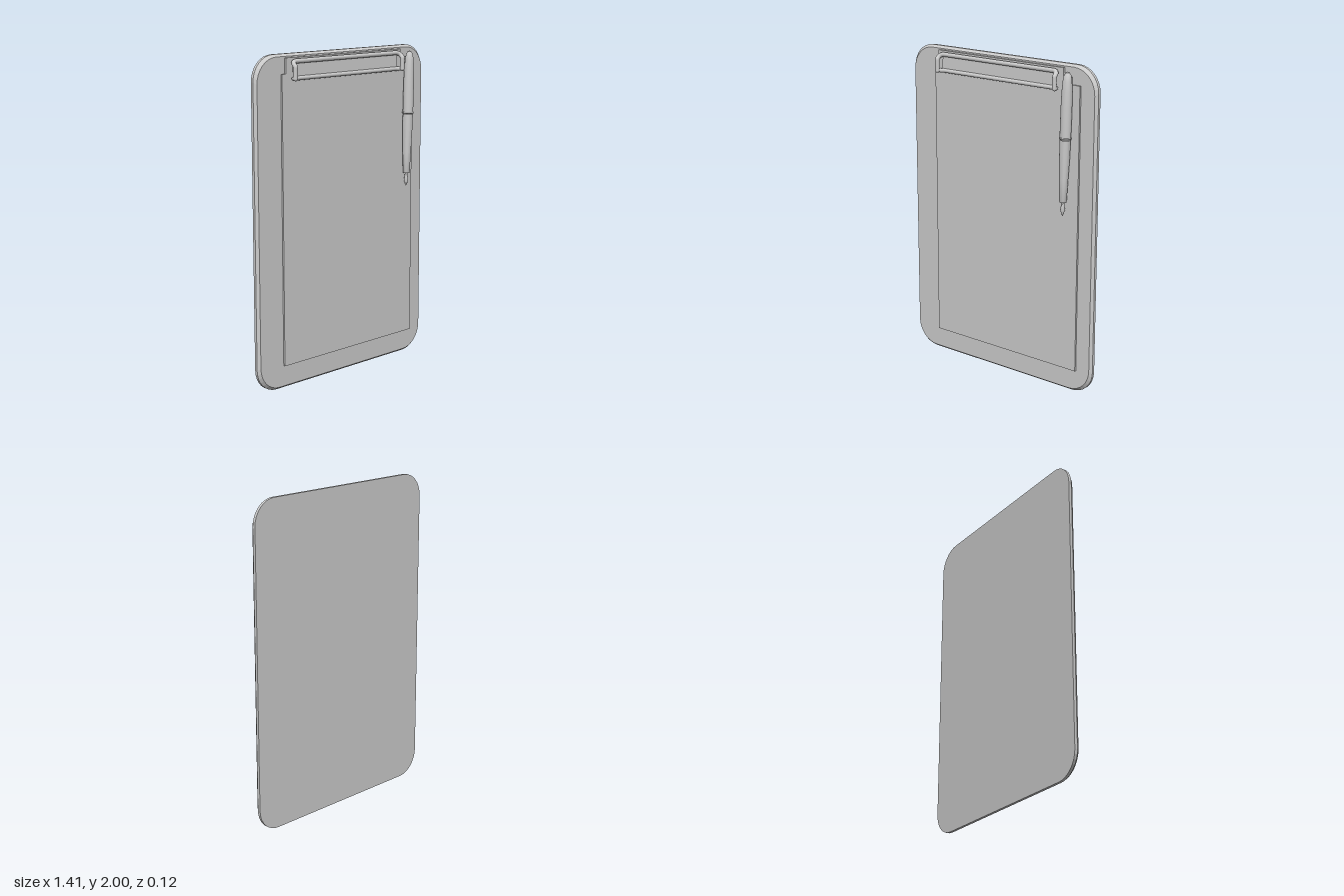
import * as THREE from 'three';
import { toCreasedNormals } from 'three/addons/utils/BufferGeometryUtils.js';

const grey = new THREE.MeshStandardMaterial({ color: 0xcccccc, side: THREE.DoubleSide });
const flat = new THREE.MeshStandardMaterial({ color: 0xcccccc, flatShading: true });
const v = (x, y, z) => new THREE.Vector3(x, y, z);

function add(parent, name, geometry, material = grey) {
  const mesh = new THREE.Mesh(geometry, material);
  mesh.name = name;
  parent.add(mesh);
  return mesh;
}

// Box given by its limits on each axis
function box(parent, name, [x0, x1], [y0, y1], [z0, z1]) {
  const mesh = add(parent, name, new THREE.BoxGeometry(x1 - x0, y1 - y0, z1 - z0), flat);
  mesh.position.set((x0 + x1) / 2, (y0 + y1) / 2, (z0 + z1) / 2);
  return mesh;
}

// Rounded slab whose front rim is chamfered by drawing in the front ring
function boardGeometry(w, h, r, depth, chamfer) {
  const s = new THREE.Shape();
  const x = w / 2 - r, y = h / 2 - r;
  s.absarc(x, y, r, 0, Math.PI / 2);
  s.absarc(-x, y, r, Math.PI / 2, Math.PI);
  s.absarc(-x, -y, r, Math.PI, Math.PI * 1.5);
  s.absarc(x, -y, r, Math.PI * 1.5, Math.PI * 2);
  const g = new THREE.ExtrudeGeometry(s, { depth, steps: 2, bevelEnabled: false, curveSegments: 4 });
  const p = g.attributes.position;
  for (let i = 0; i < p.count; i++) {
    if (p.getZ(i) < depth * 0.9) continue;
    p.setX(i, p.getX(i) * (1 - 2 * chamfer / w));
    p.setY(i, p.getY(i) * (1 - 2 * chamfer / h));
  }
  g.computeVertexNormals();
  return g;
}

export function createModel() {
  const model = new THREE.Group();
  model.name = 'clipboard';

  const board = add(model, 'board', boardGeometry(1.41, 2, 0.15, 0.036, 0.014), flat);
  board.position.set(0, 1, -0.059);

  box(model, 'paper', [-0.51, 0.595], [0.14, 1.885], [-0.024, -0.012]);

  // Clip: base plate, pressing plate with a rolled lower edge, bent wire
  const clip = new THREE.Group();
  clip.name = 'clip';
  model.add(clip);
  box(clip, 'clipBase', [-0.48, 0.48], [1.87, 1.978], [-0.024, -0.01]);
  const plate = box(clip, 'clipPlate', [-0.435, 0.435], [1.86, 1.95], [-0.004, 0.004]);
  plate.rotation.x = -0.05;
  const roll = add(clip, 'clipLowerEdge', new THREE.CylinderGeometry(0.013, 0.013, 0.87, 12));
  roll.rotation.z = Math.PI / 2;
  roll.position.set(0, 1.858, 0.006);

  const wire = new THREE.CurvePath();
  const corner = (a, b, c) => wire.add(new THREE.QuadraticBezierCurve3(a, b, c));
  const line = (a, b) => wire.add(new THREE.LineCurve3(a, b));
  line(v(-0.45, 1.858, 0.036), v(-0.45, 1.93, 0.036));
  corner(v(-0.45, 1.93, 0.036), v(-0.455, 1.958, 0.008), v(-0.415, 1.957, 0.006));
  line(v(-0.415, 1.957, 0.006), v(0.415, 1.957, 0.006));
  corner(v(0.415, 1.957, 0.006), v(0.455, 1.958, 0.008), v(0.45, 1.93, 0.036));
  line(v(0.45, 1.93, 0.036), v(0.45, 1.858, 0.036));
  add(clip, 'clipWire', new THREE.TubeGeometry(wire, 120, 0.014, 10));
  for (const side of [-1, 1]) {
    // Lower arm returns from the wire end to the rolled edge
    const arm = new THREE.QuadraticBezierCurve3(
      v(side * 0.45, 1.862, 0.036), v(side * 0.455, 1.856, 0.008), v(side * 0.415, 1.858, 0.006));
    add(clip, 'clipArm', new THREE.TubeGeometry(arm, 8, 0.013, 10));
    const cap = add(clip, 'clipWireEnd', new THREE.SphereGeometry(0.014, 10, 8));
    cap.position.set(side * 0.45, 1.859, 0.036);
  }

  // Pen, lathed about its own axis with the nib tip at the origin
  const pen = new THREE.Group();
  pen.name = 'pen';
  pen.position.set(0.509, 1.11, 0.021);
  pen.rotation.z = -0.027;
  model.add(pen);
  const lathe = (name, pts) => add(pen, name, toCreasedNormals(
    new THREE.LatheGeometry(pts.map(([r, y]) => new THREE.Vector2(r, y)), 20), 0.6));
  lathe('nib', [[0, 0], [0.007, 0.015], [0.014, 0.04], [0.01, 0.065], [0.008, 0.09]]);
  lathe('barrel', [[0, 0.085], [0.02, 0.085], [0.022, 0.09], [0.026, 0.22], [0.031, 0.36], [0.032, 0.46]]);
  lathe('ring', [[0.03, 0.462], [0.035, 0.464], [0.037, 0.469], [0.035, 0.474], [0.03, 0.476]]);
  lathe('cap', [[0.033, 0.474], [0.033, 0.65], [0.031, 0.74], [0.027, 0.8],
    [0.021, 0.835], [0.012, 0.851], [0, 0.856]]);
  box(pen, 'penClip', [-0.008, 0.008], [0.56, 0.82], [-0.037, -0.031]);
  box(pen, 'penClipRoot', [-0.008, 0.008], [0.79, 0.82], [-0.037, -0.01]);

  return model;
}
